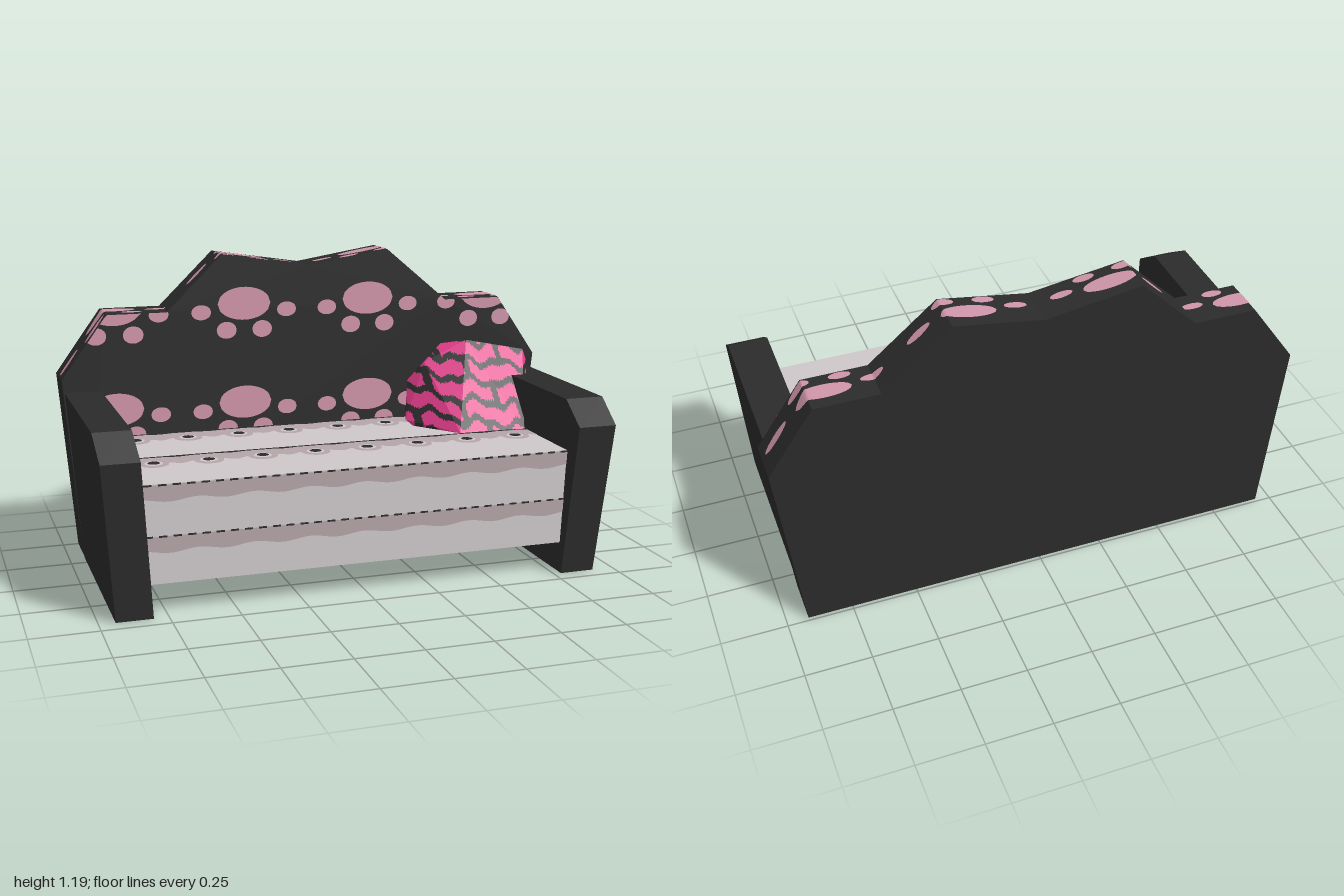
import * as THREE from 'three';
import { ConvexGeometry } from 'three/addons/geometries/ConvexGeometry.js';

const mat = (name, color, side = THREE.FrontSide) => {
  const m = new THREE.MeshStandardMaterial({ color, side });
  m.name = name;
  return m;
};

export function createModel() {
  const black = mat('black cloth', 0x2b2b2b);
  const rose = mat('rose spots', 0xd095aa);
  const cream = mat('pale seat', 0xcfc8ca, THREE.DoubleSide);
  const mauve = mat('mauve trim', 0xb5a5a9, THREE.DoubleSide);
  const hot = mat('hot pink', 0xdd3b88);

  const model = new THREE.Group();
  model.name = 'sofa';
  const add = (name, geometry, material, parent = model) => {
    const mesh = new THREE.Mesh(geometry, material);
    mesh.name = name;
    parent.add(mesh);
    return mesh;
  };
  const group = (name) => {
    const g = new THREE.Group();
    g.name = name;
    model.add(g);
    return g;
  };
  // Move every vertex by a rule
  const warp = (geometry, rule) => {
    const p = geometry.attributes.position;
    const v = new THREE.Vector3();
    for (let i = 0; i < p.count; i++) {
      v.fromBufferAttribute(p, i);
      p.setXYZ(i, ...rule(v.x, v.y, v.z));
    }
    geometry.computeVertexNormals();
    return geometry;
  };

  // Backrest with a crested outline
  const crest = [[-1, 0.72], [-0.82, 0.97], [-0.58, 0.97], [-0.36, 1.185], [0, 1.13],
    [0.335, 1.185], [0.59, 0.97], [0.83, 0.97], [1, 0.72]];
  const topAt = (x) => {
    for (let i = 1; i < crest.length; i++) {
      const [x0, y0] = crest[i - 1], [x1, y1] = crest[i];
      if (x <= x1) return y0 + (y1 - y0) * (x - x0) / (x1 - x0);
    }
    return 0.72;
  };
  const backShape = new THREE.Shape(
    [[-0.94, 0.004], [0.92, 0.004], ...crest.slice().reverse()].map((p) => new THREE.Vector2(...p)));
  const back = new THREE.ExtrudeGeometry(backShape, { depth: 0.17, bevelEnabled: false });
  add('backrest', back.translate(0, 0, -0.49), black);

  // Ellipse spots on the front, top and underside of the backrest
  const spots = group('backrestSpots');
  const spot = (face, cx, c, rx, r) => {
    const g = warp(new THREE.PlaneGeometry(2, 2, 24, 1), (u, v) => {
      const x = THREE.MathUtils.clamp(cx + rx * u, -0.995, 0.995);
      const h = r * v * Math.sqrt(Math.max(0, 1 - u * u));
      if (face === 'front') return [x, Math.min(c + h, topAt(x) - 0.002), -0.317];
      if (face === 'top') return [x, topAt(x) + 0.003, c - h];
      return [x, 0.001, c + h];
    });
    add(face + 'Spot', g, rose, spots);
  };
  for (const cx of [-0.79, -0.27, 0.25, 0.77]) {
    for (const y of [0.99, 0.59, 0.19]) {
      spot('front', cx, y, 0.108, 0.066);
      for (const s of [-1, 1]) {
        if (Math.abs(cx + s * 0.175) < 0.9) spot('front', cx + s * 0.175, y - 0.03, 0.04, 0.03);
        spot('front', cx + s * 0.073, y - 0.105, 0.041, 0.034);
      }
    }
    spot('top', cx, -0.41, 0.1, 0.036);
    for (const s of [-1, 1]) {
      spot('top', cx + s * 0.175, -0.392, 0.042, 0.017);
      spot('top', cx + s * 0.073, -0.345, 0.04, 0.018);
      spot('under', cx + s * 0.073, -0.4, 0.04, 0.034);
    }
  }

  // Arms: side profile (z, y), leaning outwards towards the top
  const armShape = new THREE.Shape([[-0.32, 0], [0.44, 0], [0.495, 0.585], [0.37, 0.67], [-0.32, 0.67]]
    .map((p) => new THREE.Vector2(...p)));
  const arm = (name, lo, hi) => {
    const g = new THREE.ExtrudeGeometry(armShape, { depth: 1, bevelEnabled: false }).rotateY(-Math.PI / 2);
    warp(g, (x, y, z) => {
      const t = y / 0.67;
      const a = lo[0] + (lo[1] - lo[0]) * t, b = hi[0] + (hi[1] - hi[0]) * t;
      return [a + (x + 1) * (b - a), y, z];
    });
    add(name, g, black);
  };
  arm('rightArm', [-0.94, -0.99], [-0.805, -0.85]);
  arm('leftArm', [0.78, 0.812], [0.915, 0.965]);

  // Seat: an open shell of a top and a front panel
  const seat = group('seat');
  const flat = (z, y) => (x, t) => [x, y, z + t];
  const upright = (y, z) => (x, t) => [x, y - t, z];
  // A strip across the seat, its far edge following a wave
  const strip = (name, material, place, width, wave = () => 0) => {
    const g = warp(new THREE.PlaneGeometry(1.64, 1, 160, 1), (x, y) => {
      const px = x - 0.015;
      return place(px, y > 0 ? 0 : width + wave(px));
    });
    add(name, g, material, seat);
  };
  strip('seatTop', cream, flat(-0.32, 0.48), 0.73);
  strip('seatFront', cream, upright(0.48, 0.41), 0.365);

  const pitch = 0.2065, first = -0.735;
  const phase = (x) => Math.cos((x - first) / pitch * Math.PI * 2);
  const disc = (name, material, x, z, r, y) =>
    add(name, new THREE.CircleGeometry(r, 14).rotateX(-Math.PI / 2).translate(x, y, z), material, seat);
  for (const z of [-0.315, 0.05]) {
    strip('trimBand', mauve, flat(z, 0.482), 0.095, (x) => 0.012 * Math.cos((x - first) / pitch * Math.PI * 4));
    strip('seam', black, flat(z, 0.485), 0.013, (x) => 0.008 * Math.max(0, -phase(x)));
    for (let i = 0; i < 8; i++) {
      const x = first + i * pitch, fz = z + 0.091;
      disc('flowerPetals', mauve, x, fz, 0.057, 0.4825);
      disc('flowerRing', cream, x, fz, 0.034, 0.484);
      disc('flowerCentre', black, x, fz, 0.023, 0.4855);
    }
  }
  for (const y of [0.477, 0.29]) {
    for (const z of [0.407, 0.413]) {
      strip('frontBand', mauve, upright(y, z), 0.056, (x) => 0.006 * phase(x));
    }
    for (let i = 0; i < 32; i++) {
      add('seamStitch', new THREE.PlaneGeometry(0.03, 0.007)
        .translate(-0.81 + i * 0.0515, y, 0.415), black, seat);
    }
  }

  // Cushion: a leaning faceted body, finely split so that its stripes are separate faces
  const corners = [[0.37, 0.5, -0.18], [0.39, 0.48, -0.15], [0.52, 0.482, 0.04], [0.79, 0.482, 0.06],
    [0.91, 0.71, -0.19], [0.9, 0.76, -0.21], [0.66, 0.805, -0.25], [0.57, 0.785, -0.31],
    [0.48, 0.72, -0.26], [0.42, 0.64, -0.3], [0.42, 0.482, -0.318], [0.8, 0.482, -0.318]]
    .map((p) => new THREE.Vector3(...p));
  const hull = new ConvexGeometry(corners).attributes.position;
  const faces = [[], []];
  const isPink = (c) => {
    const s = (c.y + 0.13 * c.x + 0.012 * Math.sin(c.x * 38) + 0.008 * Math.sin(c.x * 71 + c.z * 20)) / 0.073;
    const gap = Math.sin(c.x * 26 + Math.floor(s) * 2.3);
    return s - Math.floor(s) > 0.33 && gap < 0.95;
  };
  const split = (a, b, c, depth) => {
    if (depth === 0) {
      const mid = a.clone().add(b).add(c).divideScalar(3);
      for (const v of [a, b, c]) faces[isPink(mid) ? 1 : 0].push(v.x, v.y, v.z);
      return;
    }
    const ab = a.clone().lerp(b, 0.5), bc = b.clone().lerp(c, 0.5), ca = c.clone().lerp(a, 0.5);
    split(a, ab, ca, depth - 1);
    split(ab, b, bc, depth - 1);
    split(ca, bc, c, depth - 1);
    split(ab, bc, ca, depth - 1);
  };
  for (let i = 0; i < hull.count; i += 3) {
    split(...[0, 1, 2].map((k) => new THREE.Vector3().fromBufferAttribute(hull, i + k)), 5);
  }
  const cushion = group('cushion');
  faces.forEach((list, i) => {
    const g = new THREE.BufferGeometry();
    g.setAttribute('position', new THREE.Float32BufferAttribute(list, 3));
    g.computeVertexNormals();
    add(i ? 'cushionPinkStripes' : 'cushionBlackStripes', g, i ? hot : black, cushion);
  });

  return model;
}
